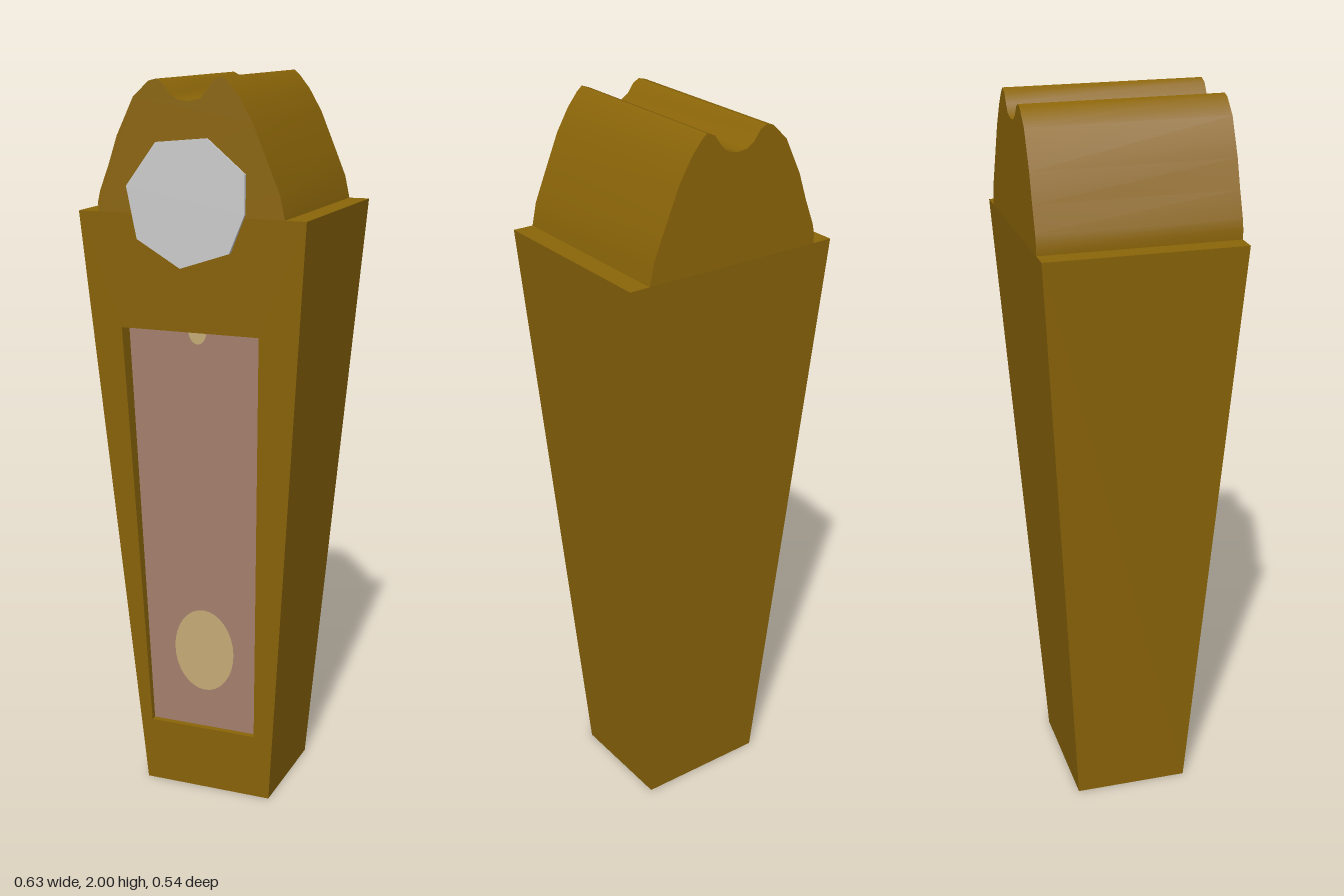
import * as THREE from 'three';
import { toCreasedNormals } from 'three/addons/utils/BufferGeometryUtils.js';

const material = (name, color, side = THREE.FrontSide) => {
  const m = new THREE.MeshStandardMaterial({ color, side });
  m.name = name;
  return m;
};

// Heights of the leaning front face and of the sunken door panel
const TOP = 1.655;
const frontZ = (y) => 0.16 + 0.105 * y / TOP;
const panelZ = (y) => 0.155 + 0.039 * (y - 0.19);

// Flat-shaded geometry from four-cornered faces, corners counter-clockwise
function quads(faces) {
  const pos = [];
  for (const [a, b, c, d] of faces) pos.push(...a, ...b, ...c, ...a, ...c, ...d);
  const g = new THREE.BufferGeometry();
  g.setAttribute('position', new THREE.Float32BufferAttribute(pos, 3));
  g.computeVertexNormals();
  return g;
}

const shapeOf = (points) => new THREE.Shape(points.map(([x, y]) => new THREE.Vector2(x, y)));

export function createModel() {
  const group = new THREE.Group();
  const wood = material('wood', 0x8b6508);
  const glass = material('door panel', 0xa8826f);
  const brass = material('brass', 0xc8ae78, THREE.DoubleSide);
  const silver = material('dial silver', 0xcccccc);

  const add = (name, geometry, mat) => {
    const mesh = new THREE.Mesh(geometry, mat);
    mesh.name = name;
    group.add(mesh);
    return mesh;
  };

  // Tapered case with a door opening; every ring starts bottom left, counter-clockwise
  const front = [[-0.186, 0], [0.186, 0], [0.313, TOP], [-0.313, TOP]].map(([x, y]) => [x, y, frontZ(y)]);
  const back = front.map(([x, y]) => [x, y, y ? -0.27 : -0.16]);
  const door = [[-0.166, 0.19], [0.145, 0.19], [0.181, 1.35], [-0.205, 1.35]];
  const rim = door.map(([x, y]) => [x, y, frontZ(y)]);
  const sunk = door.map(([x, y]) => [x, y, panelZ(y)]);
  const faces = [[back[1], back[0], back[3], back[2]]];
  for (let i = 0; i < 4; i++) {
    const j = (i + 1) % 4;
    faces.push(
      [back[i], back[j], front[j], front[i]], // outer side
      [front[i], front[j], rim[j], rim[i]], // frame
      [rim[i], rim[j], sunk[j], sunk[i]], // opening wall
    );
  }
  add('case', quads(faces), wood);
  add('doorPanel', quads([sunk]), glass);

  // Scalloped crown running front to back
  const crown = shapeOf([
    [-0.256, TOP], [0.256, TOP], [0.243, 1.715], [0.212, 1.79], [0.17, 1.89], [0.135, 1.95],
    [0.106, 1.986], [0.09, 2], [0.066, 1.991], [0.048, 1.966], [0.03, 1.946], [0, 1.939],
    [-0.03, 1.942], [-0.053, 1.957], [-0.072, 1.983], [-0.09, 1.992], [-0.11, 1.987],
    [-0.153, 1.947], [-0.2, 1.85], [-0.225, 1.775], [-0.25, 1.71], [-0.257, 1.68],
  ]);
  const crownGeometry = new THREE.ExtrudeGeometry(crown, { depth: 0.535, bevelEnabled: false });
  crownGeometry.translate(0, 0, -0.27);
  add('crown', toCreasedNormals(crownGeometry, 0.7), wood);

  // Eight-sided dial
  const dial = shapeOf([
    [-0.025, 1.52], [0.11, 1.565], [0.152, 1.665], [0.152, 1.765],
    [0.05, 1.85], [-0.09, 1.837], [-0.173, 1.725], [-0.145, 1.59],
  ]);
  const dialGeometry = new THREE.ExtrudeGeometry(dial, { depth: 0.019, bevelEnabled: false });
  dialGeometry.translate(0, 0, 0.254);
  add('dial', dialGeometry, silver);

  // Pendulum plates lying just in front of the door panel
  const plate = (name, shape) => {
    const g = new THREE.ShapeGeometry(shape, 16);
    const p = g.attributes.position;
    for (let i = 0; i < p.count; i++) p.setZ(i, panelZ(p.getY(i)) + 0.003);
    g.computeVertexNormals();
    add(name, g, brass);
  };
  plate('pendulumBob', new THREE.Shape().absellipse(-0.006, 0.427, 0.088, 0.122, 0, Math.PI * 2));
  plate('pendulumPivot', new THREE.Shape().absellipse(-0.007, 1.348, 0.026, 0.038, Math.PI, Math.PI * 2));

  return group;
}
